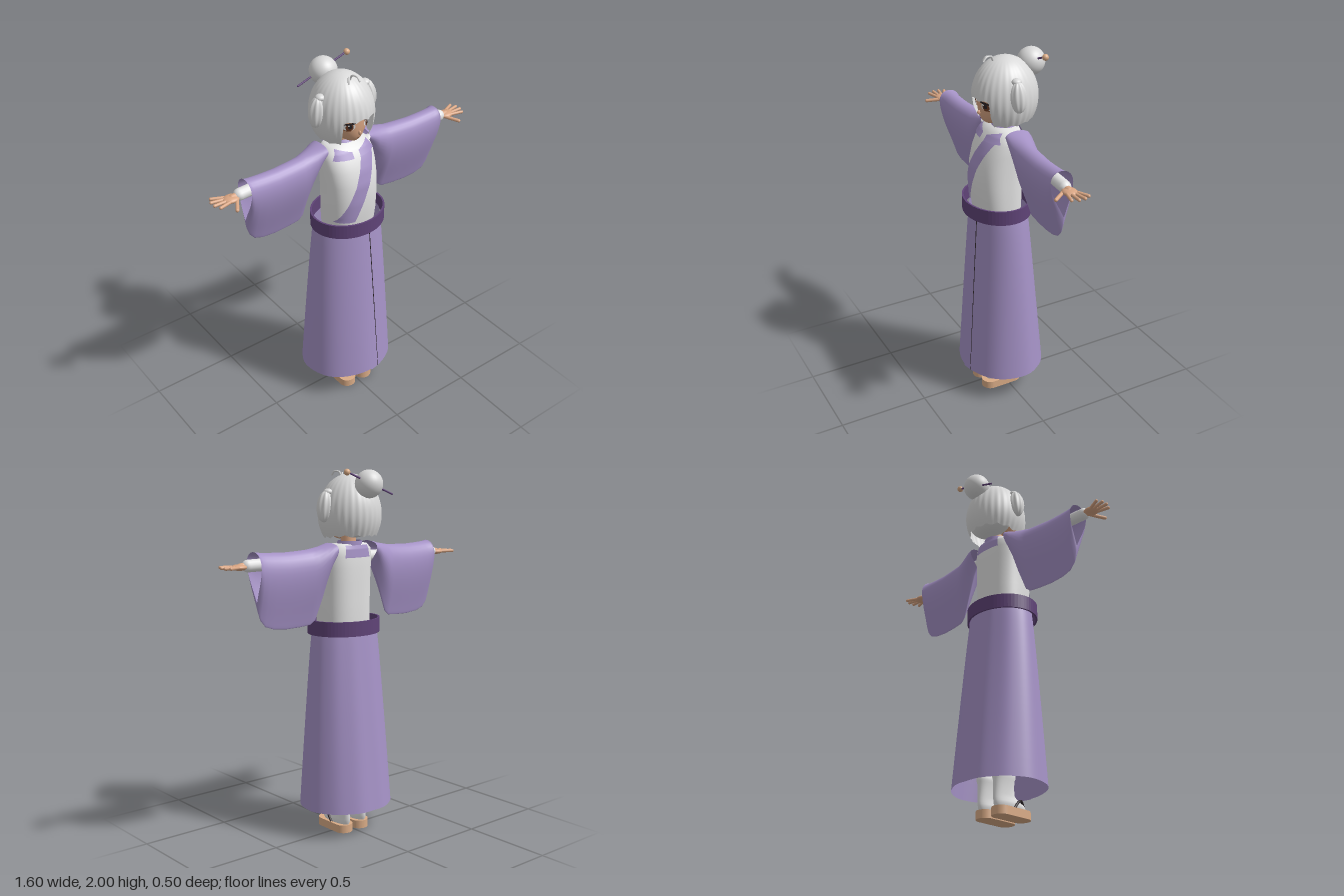
import * as THREE from 'three';

const V = (x, y, z) => new THREE.Vector3(x, y, z);
const mat = (name, color) => Object.assign(new THREE.MeshStandardMaterial({ color, side: THREE.DoubleSide }), { name });

// Skin a list of point rings; wrap closes each ring
function loft(rings, wrap = true) {
  const n = rings[0].length, index = [];
  for (let i = 0; i < rings.length - 1; i++)
    for (let j = 0; j < (wrap ? n : n - 1); j++) {
      const a = i * n + j, b = i * n + (j + 1) % n;
      index.push(a, b, a + n, b, b + n, a + n);
    }
  const g = new THREE.BufferGeometry().setFromPoints(rings.flat());
  g.setIndex(index);
  g.computeVertexNormals();
  return g;
}

// Horizontal superellipse ring between a front and a back z
function ring([y, rx, zf, zb], x0 = 0, p = 2, n = 48) {
  return Array.from({ length: n }, (_, i) => {
    const a = i / n * Math.PI * 2, s = Math.sin(a), c = Math.cos(a);
    return V(x0 + rx * Math.sign(s) * Math.abs(s) ** (2 / p), y,
      (zf + zb) / 2 + (zf - zb) / 2 * Math.sign(c) * Math.abs(c) ** (2 / p));
  });
}

// Torso sections: y, half width, front z, back z
const TORSO = [[1.1, .14, .14, -.09], [1.2, .145, .155, -.095], [1.3, .146, .162, -.095], [1.4, .148, .158, -.095],
  [1.48, .15, .137, -.095], [1.54, .15, .108, -.092], [1.58, .14, .08, -.088], [1.605, .11, .055, -.08], [1.61, .04, .02, -.05]];
function torsoZ(x, y, side) {
  let i = 0;
  while (i < TORSO.length - 2 && TORSO[i + 1][0] < y) i++;
  const A = TORSO[i], B = TORSO[i + 1], t = Math.min(1, (y - A[0]) / (B[0] - A[0]));
  const [rx, f, b] = [1, 2, 3].map(k => A[k] + (B[k] - A[k]) * t);
  const q = Math.max(0, 1 - Math.min(1, Math.abs(x) / rx) ** 2.5) ** .4;
  return (f + b) / 2 + side * ((f - b) / 2 * q + .008);
}
// Cloth patch lying on the torso, from four [x, y] corners
function patch(a, b, c, d, side) {
  const mix = (p, q, t) => [p[0] + (q[0] - p[0]) * t, p[1] + (q[1] - p[1]) * t];
  return loft(Array.from({ length: 21 }, (_, i) => Array.from({ length: 9 }, (_, j) => {
    const [x, y] = mix(mix(a, b, j / 8), mix(d, c, j / 8), i / 20);
    return V(x, y, torsoZ(x, y, side));
  })), false);
}

// Face surface, shared by the head and the painted features
function faceZ(x, y) {
  const ny = (y - 1.775) / .148, k = Math.max(0, -ny);
  return .126 * Math.sqrt(Math.max(0, 1 - ny * ny - (x / (.122 * (1 - .28 * k))) ** 2)) + .05 * k * k;
}
function faceSpot(x, y, rx, ry, lift, tilt = 0) {
  const g = new THREE.CircleGeometry(1, 24).scale(rx, ry, 1).rotateZ(tilt).translate(x, y, 0), p = g.attributes.position;
  for (let i = 0; i < p.count; i++) p.setZ(i, faceZ(p.getX(i), p.getY(i)) + lift);
  g.computeVertexNormals();
  return g;
}

export function createModel() {
  const root = new THREE.Group();
  const purple = mat('lavenderCloth', 0xa592c6), plum = mat('plumSash', 0x5f4377), white = mat('whiteCloth', 0xe2e2e2),
    hair = mat('silverHair', 0xd9d9d9), skin = mat('skin', 0xd8a583), wood = mat('wood', 0xd9ab86),
    dark = mat('darkTrim', 0x2a2326), brown = mat('irisBrown', 0x6b3a22);
  const add = (name, geo, m, parent = root) => {
    const mesh = new THREE.Mesh(geo, m);
    mesh.name = name;
    parent.add(mesh);
    return mesh;
  };
  const ball = (name, m, x, y, z, rx, ry = rx, rz = rx) =>
    add(name, new THREE.SphereGeometry(1, 32, 20).scale(rx, ry, rz).translate(x, y, z), m);
  const limb = (name, m, a, b, r) => {
    const mesh = add(name, new THREE.CapsuleGeometry(r, a.distanceTo(b), 6, 14), m);
    mesh.position.copy(a).lerp(b, .5);
    mesh.quaternion.setFromUnitVectors(V(0, 1, 0), b.clone().sub(a).normalize());
  };
  const tube = (name, m, pts, r) => add(name, new THREE.TubeGeometry(new THREE.CatmullRomCurve3(pts), 24, r, 8), m);

  // Wrap skirt: one sheet whose end overlaps its start at the front
  const skirt = [];
  for (let i = 0; i <= 20; i++) {
    const t = i / 20, y = 1.14 - .985 * t, row = [];
    const rx = .197 + .073 * t ** .8, zf = .165 + .077 * t, zb = -.132 - .1 * t;
    for (let j = 0; j <= 110; j++) {
      const u = j / 110, a = .2 + .06 * t - u * (Math.PI * 2 + .22), c = Math.cos(a);
      const k = .975 + .03 * u + .008 * Math.cos(a * 11) * Math.max(0, -c) + .006 * Math.cos(a * 7) * t;
      row.push(V(rx * k * Math.sin(a), y, (zf + zb) / 2 + (zf - zb) / 2 * k * c));
    }
    skirt.push(row);
  }
  add('skirt', loft(skirt, false), purple);
  tube('skirtSeam', dark, skirt.map(r => r[0].clone().add(V(0, 0, .006))), .002);

  // Sash: a hollow band
  add('sash', loft([[1.12, .2, .195, -.145], [1.12, .21, .205, -.155], [1.2, .21, .205, -.155], [1.2, .2, .195, -.145],
    [1.12, .2, .195, -.145]].map(s => ring(s, 0, 2, 64))).toNonIndexed(), plum).geometry.computeVertexNormals();

  // Upper garment, lapel and collar
  add('torso', loft(TORSO.map(s => ring(s, 0, 2.5, 64))), white);
  add('lapel', patch([.03, 1.57], [.115, 1.57], [-.05, 1.19], [-.14, 1.19], 1), purple);
  add('backCollar', patch([-.075, 1.6], [.075, 1.6], [.085, 1.535], [-.085, 1.535], -1), purple);
  add('neckBand', loft([[1.565, .085, .07, -.088], [1.6, .072, .05, -.088], [1.622, .066, .035, -.088]].map(s => ring(s))), purple);
  add('neck', new THREE.CylinderGeometry(.038, .043, .14, 24).translate(0, 1.62, -.015), skin);

  for (const s of [1, -1]) {
    add('collarWing', patch([s * .02, 1.575], [s * .02, 1.545], [s * .13, 1.55], [s * .1, 1.6], 1), purple);

    // Hanging sleeve: teardrop sections x, top y, bottom y, half depth, centre z
    const SLEEVE = [[.135, 1.615, 1.5, .075, -.02], [.16, 1.61, 1.45, .078, -.02], [.2, 1.6, 1.34, .078, -.018], [.25, 1.592, 1.215, .075, -.012],
      [.28, 1.587, 1.193, .073, -.008], [.35, 1.583, 1.187, .072, -.004], [.43, 1.58, 1.185, .07, 0], [.51, 1.583, 1.193, .069, .003],
      [.56, 1.586, 1.21, .068, .004], [.59, 1.588, 1.245, .068, .005], [.605, 1.59, 1.29, .068, .005], [.61, 1.592, 1.34, .068, .005]];
    add('sleeve', loft(SLEEVE.map(([x, t, b, w, z]) => Array.from({ length: 40 }, (_, i) => {
      const a = i / 40 * Math.PI * 2, c = Math.cos(a);
      return V(s * x, (t + b) / 2 + (t - b) / 2 * c,
        z - .012 * (1 - c) + 1.38 * w * Math.sin(a) * (.56 + .44 * c));
    }))), purple);

    // Arm, hand and fingers
    limb('undersleeve', white, V(s * .13, 1.53, -.02), V(s * .645, 1.525, .005), .032);
    limb('wrist', skin, V(s * .64, 1.525, .005), V(s * .69, 1.522, .008), .019);
    ball('palm', skin, s * .695, 1.521, .008, .045, .016, .037);
    [[.778, -.045], [.793, -.016], [.793, .017], [.778, .05]].forEach(([x, z]) =>
      limb('finger', skin, V(s * .71, 1.522, .008 + z * .5), V(s * x, 1.523, z), .0085));
    limb('thumb', skin, V(s * .675, 1.518, .03), V(s * .715, 1.508, .095), .0095);

    // Leg, sock and sandal
    const fx = s * .058;
    add('leg', new THREE.CylinderGeometry(.06, .036, .9, 24).translate(fx, .65, -.02), skin);
    add('sock', loft([[.045, .034, .118, -.08], [.06, .039, .127, -.087], [.075, .037, .115, -.089], [.09, .034, .08, -.09], [.11, .032, .05, -.089],
      [.15, .035, .043, -.088], [.19, .039, .045, -.09], [.2, .043, .05, -.094], [.23, .043, .05, -.094], [.23, .03, .03, -.08]]
      .map(r => ring(r, fx))), white);
    const sole = new THREE.Shape();
    sole.absarc(0, .04, .05, Math.PI, 0, true);
    sole.absarc(0, -.1, .05, 0, -Math.PI, true);
    add('sandal', new THREE.ExtrudeGeometry(sole, { depth: .045, bevelEnabled: false, curveSegments: 16 })
      .rotateX(-Math.PI / 2).translate(fx, 0, 0), wood);
    for (const d of [1, -1])
      tube('sandalStrap', dark, [V(fx, .075, .118), V(fx + d * .022, .094, .08), V(fx + d * .04, .075, .04), V(fx + d * .043, .045, .015)], .007);

    // Painted eye
    const ex = s * .054;
    add('eyeWhite', faceSpot(ex, 1.74, .027, .022, .003), white);
    add('iris', faceSpot(ex, 1.74, .017, .022, .005), brown);
    add('pupil', faceSpot(ex, 1.742, .009, .012, .007), dark);
    add('upperLash', faceSpot(ex, 1.76, .031, .006, .008, -s * .12), dark);
    add('lowerLash', faceSpot(ex + s * .006, 1.719, .016, .002, .006), brown);
    add('eyeHighlight', faceSpot(ex - .007, 1.75, .004, .005, .009), white);

    // Gathered side tuft with ridges
    const tuft = new THREE.SphereGeometry(1, 48, 20), p = tuft.attributes.position;
    for (let i = 0; i < p.count; i++) {
      const k = 1 + .07 * Math.cos(8 * Math.atan2(p.getZ(i), p.getX(i)));
      p.setXYZ(i, p.getX(i) * k * .04, p.getY(i) * .082, p.getZ(i) * k * .042);
    }
    tuft.computeVertexNormals();
    add('sideTuft', tuft.rotateZ(s * .12).translate(s * .162, 1.805, -.015), hair);
    ball('tuftKnot', hair, s * .14, 1.88, -.015, .026, .018, .026);
  }

  // Head with a narrowed chin
  const head = new THREE.SphereGeometry(1, 48, 36), hp = head.attributes.position;
  for (let i = 0; i < hp.count; i++) {
    const ny = hp.getY(i), k = Math.max(0, -ny);
    hp.setXYZ(i, hp.getX(i) * .122 * (1 - .28 * k), 1.775 + .148 * ny, hp.getZ(i) * .126 + .05 * k * k);
  }
  head.computeVertexNormals();
  add('head', head, skin);
  ball('nose', skin, 0, 1.697, .125, .007, .012, .01);
  add('mouth', faceSpot(0, 1.665, .012, .002, .004), brown);

  // Bobbed hair: the lower edge rises over the face as a fringe
  const N = 144, rows = [], zigzag = (a, n) => Math.abs(((a * n / Math.PI) % 2 + 2) % 2 - 1);
  for (let i = 0; i <= 28; i++) {
    const row = [];
    for (let j = 0; j < N; j++) {
      const a = (j / N * 2 - 1) * Math.PI, m = Math.abs(a);
      const side = THREE.MathUtils.smoothstep(m, .6, .7);
      const edge = (1.77 + .012 * zigzag(a, 14)) * (1 - side) + (1.635 + .012 * zigzag(a, 14) + .012 * THREE.MathUtils.smoothstep(m, 1.2, 2.2)) * side;
      const t = i / 28, y = 1.975 - (1.975 - edge) * t ** 1.7;
      let r = y > 1.76 ? Math.sqrt(Math.max(0, 1 - ((y - 1.76) / .215) ** 2)) : 1 - .22 * ((1.76 - y) / .13) ** 2;
      r *= 1 + .012 * t * Math.cos(a * 28);
      row.push(V(.166 * r * Math.sin(a), y, -.025 + .175 * r * Math.cos(a)));
    }
    rows.push(row);
  }
  add('hair', loft(rows), hair);
  ball('napeHair', hair, 0, 1.74, -.07, .135, .1, .11);
  ball('hairBun', hair, 0, 1.922, -.178, .074);
  tube('stragglerLock', hair, [V(0, 1.95, .04), V(.005, 1.982, .055), V(.012, 1.985, .085), V(.015, 1.965, .105)], .005);
  tube('stragglerLock', hair, [V(0, 1.95, .04), V(-.012, 1.975, .05), V(-.028, 1.972, .07), V(-.035, 1.955, .08)], .005);

  // Hairpin through the bun
  limb('hairpin', plum, V(-.145, 1.868, -.198), V(.14, 1.982, -.175), .005);
  ball('hairpinBead', wood, .147, 1.983, -.175, .017);

  return root;
}
